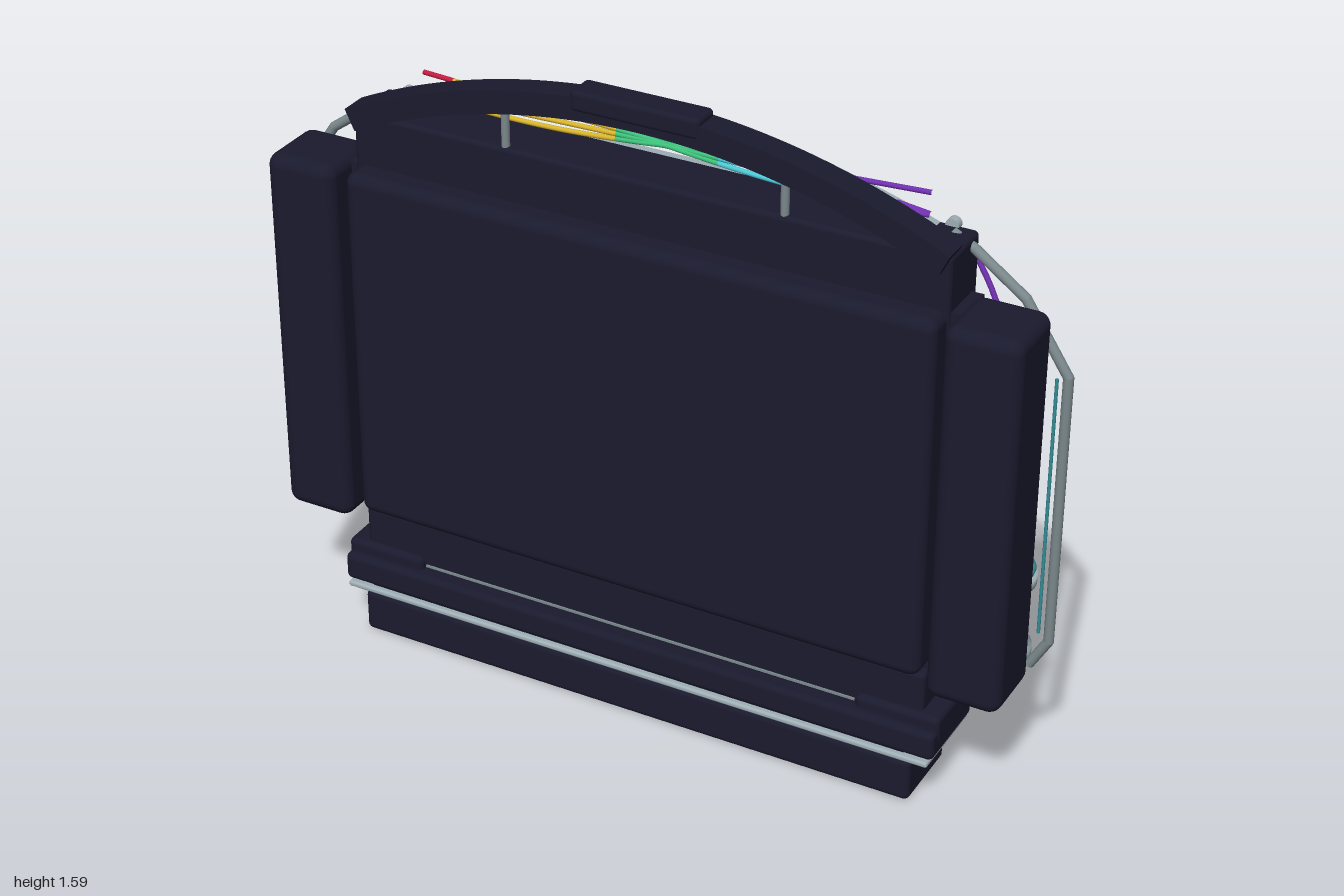
import * as THREE from 'three';
import { RoundedBoxGeometry } from 'three/addons/geometries/RoundedBoxGeometry.js';

const mat = (name, color) => Object.assign(new THREE.MeshStandardMaterial({ color }), { name });

export function createModel() {
  const root = new THREE.Group();
  root.name = 'portableConsole';
  const dark = mat('dark shell', 0x1a1a2e);
  const silver = mat('silver', 0x9fafb5);
  const grey = mat('grey metal', 0x7b888c);
  const teal = mat('pale teal', 0x80c8d6);
  const deepTeal = mat('deep teal', 0x358c94);
  const red = mat('red wire', 0xc01c40);
  const yellow = mat('yellow wire', 0xd8b42c);
  const green = mat('green wire', 0x3cc07a);
  const cyan = mat('cyan wire', 0x4cc6d4);
  const purple = mat('purple wire', 0x7030b0);

  const add = (name, geo, m, x = 0, y = 0, z = 0) => {
    const mesh = new THREE.Mesh(geo, m);
    mesh.name = name;
    mesh.position.set(x, y, z);
    root.add(mesh);
    return mesh;
  };
  // Box given by its limits on each axis, optionally rounded
  const box = (name, m, x0, x1, y0, y1, z0, z1, r = 0) => {
    const s = [x1 - x0, y1 - y0, z1 - z0];
    return add(name, r ? new RoundedBoxGeometry(...s, 4, r) : new THREE.BoxGeometry(...s), m,
      (x0 + x1) / 2, (y0 + y1) / 2, (z0 + z1) / 2);
  };
  // Straight round bar between two points
  const rod = (name, m, a, b, r) => {
    const p = new THREE.Vector3(...a), q = new THREE.Vector3(...b), d = q.clone().sub(p);
    const mesh = add(name, new THREE.CylinderGeometry(r, r, d.length(), 16), m);
    mesh.position.copy(p).add(q).multiplyScalar(0.5);
    mesh.quaternion.setFromUnitVectors(new THREE.Vector3(0, 1, 0), d.normalize());
  };
  const path = (name, m, pts, r) => {
    for (let i = 1; i < pts.length; i++) rod(name, m, pts[i - 1], pts[i], r);
    for (let i = 1; i < pts.length - 1; i++) add(name + 'Joint', new THREE.SphereGeometry(r, 16, 10), m, ...pts[i]);
  };
  const wire = (name, m, pts, r) => add(name, new THREE.TubeGeometry(
    new THREE.CatmullRomCurve3(pts.map(p => new THREE.Vector3(...p))), 16, r, 16), m);
  // Rounded rectangle outline
  const rect = (s, x0, x1, y0, y1, r) => {
    s.moveTo(x0 + r, y0);
    s.lineTo(x1 - r, y0); s.quadraticCurveTo(x1, y0, x1, y0 + r);
    s.lineTo(x1, y1 - r); s.quadraticCurveTo(x1, y1, x1 - r, y1);
    s.lineTo(x0 + r, y1); s.quadraticCurveTo(x0, y1, x0, y1 - r);
    s.lineTo(x0, y0 + r); s.quadraticCurveTo(x0, y0, x0 + r, y0);
    return s;
  };
  // Mitred rectangular moulding facing -z, from [inset, z] steps
  const moulding = (name, m, w, y0, y1, steps) => {
    const pos = [];
    const corners = ([i, z]) => [[-w + i, y0 + i, z], [w - i, y0 + i, z], [w - i, y1 - i, z], [-w + i, y1 - i, z]];
    for (let k = 1; k < steps.length; k++) {
      const a = corners(steps[k - 1]), b = corners(steps[k]);
      for (let c = 0; c < 4; c++) {
        const n = (c + 1) % 4;
        pos.push(...a[c], ...b[n], ...a[n], ...a[c], ...b[c], ...b[n]);
      }
    }
    const g = new THREE.BufferGeometry();
    g.setAttribute('position', new THREE.Float32BufferAttribute(pos, 3));
    g.computeVertexNormals();
    add(name, g, m);
  };
  // Curved band through (+-half, yEnd) and (0, yTop)
  const arch = (name, m, half, yEnd, yTop, t, z, depth) => {
    const h = yTop - yEnd, R = (half * half + h * h) / (2 * h), a = Math.asin(half / R), c = yTop - R;
    const s = new THREE.Shape();
    s.absarc(0, c, R, Math.PI / 2 - a, Math.PI / 2 + a, false);
    s.absarc(0, c, R - t, Math.PI / 2 + a, Math.PI / 2 - a, true);
    add(name, new THREE.ExtrudeGeometry(s, { depth, bevelEnabled: false, curveSegments: 28 }), m, 0, 0, z);
  };

  // Main shell
  box('body', dark, -0.75, 0.75, 0.23, 1.39, -0.09, 0.06, 0.012);
  box('lowerBody', dark, -0.75, 0.75, 0.18, 0.335, -0.09, 0.09, 0.012);
  box('frontPanel', dark, -0.745, 0.745, 0.34, 1.26, 0.02, 0.125, 0.028);
  box('base', dark, -0.74, 0.74, 0, 0.112, -0.075, 0.13, 0.015);
  box('baseNeck', dark, -0.72, 0.72, 0.1, 0.15, -0.07, 0.12);
  box('baseTrim', silver, -0.785, 0.785, 0.115, 0.13, -0.1, 0.135, 0.006);
  box('shelf', dark, -0.795, 0.795, 0.132, 0.205, -0.095, 0.13, 0.015);
  box('shelfLine', grey, -0.58, 0.58, 0.211, 0.217, 0.085, 0.094);

  // Carry handle
  arch('handle', dark, 0.755, 1.405, 1.577, 0.056, 0.015, 0.07);
  box('handleGrip', dark, -0.16, 0.16, 1.535, 1.586, 0.01, 0.088, 0.012);

  // Rear screen moulding, ledge and pull loop
  moulding('screenFrame', silver, 0.725, 0.345, 1.195,
    [[0, -0.088], [0, -0.116], [0.012, -0.127], [0.04, -0.127], [0.085, -0.092]]);
  box('screenLedge', silver, -0.77, 0.77, 0.33, 0.347, -0.135, -0.045, 0.006);
  const loop = rect(new THREE.Shape(), -0.305, 0.305, 1.205, 1.37, 0.035);
  loop.holes.push(rect(new THREE.Path(), -0.28, 0.28, 1.23, 1.345, 0.02));
  add('pullLoop', new THREE.ExtrudeGeometry(loop, { depth: 0.036, bevelEnabled: false, curveSegments: 6 }),
    silver, 0, 0, -0.137);

  // Arched cable guides over the top
  arch('cableGuide', silver, 0.66, 1.39, 1.507, 0.028, -0.082, 0.026);
  arch('cableGuideLower', grey, 0.6, 1.39, 1.465, 0.008, -0.06, 0.006);

  // Rainbow wires: crossing strands split into colour spans
  const spans = [[-0.64, -0.56, red], [-0.56, -0.13, yellow], [-0.13, 0.13, green], [0.13, 0.4, cyan], [0.4, 0.64, purple]];
  const strands = [-1, -0.1, 0.8].map(k => u => 1.423 - 0.015 * u * u + k * 0.02 * Math.sin(Math.PI * u));
  strands.push(u => 1.423 + 0.035 * u);
  strands.forEach((f, n) => {
    for (const [x0, x1, m] of spans) {
      const pts = [];
      for (let i = 0; i <= 6; i++) {
        const x = x0 + (x1 - x0) * i / 6, u = Math.abs(x) / 0.64;
        pts.push([x, f(u), -0.067 - 0.003 * n]);
      }
      wire('rainbowWire', m, pts, 0.006);
    }
  });
  // Wires lying along the upper back
  for (const [x0, x1, m] of spans) {
    const end = x => Math.abs(x) > 0.6 ? x * 1.1 : x;
    rod('backWire', m, [end(x0), 1.376, -0.09], [end(x1), 1.376, -0.09], 0.006);
  }

  for (const s of [-1, 1]) {
    const X = (a, b) => s > 0 ? [a, b] : [-b, -a];
    // Side pod and its fittings
    box('sidePod', dark, ...X(0.768, 0.95), 0.315, 1.27, -0.045, 0.142, 0.032);
    box('podConnector', dark, ...X(0.74, 0.78), 0.33, 1.255, -0.06, 0.05);
    box('shelfEndCap', dark, ...X(0.585, 0.797), 0.16, 0.237, -0.088, 0.107, 0.015);
    box('sideRail', grey, ...X(0.765, 0.79), 0.35, 1.2, -0.075, -0.045);
    rod('handlePost', grey, [s * 0.35, 1.38, 0.045], [s * 0.35, 1.51, 0.045], 0.01);

    // Roll cage around the pod
    path('sideCage', grey, [[s * 0.7, 1.385, -0.06], [s * 0.755, 1.365, -0.05], [s * 0.88, 1.275, -0.05],
      [s * 0.988, 1.11, -0.05], [s * 0.988, 0.425, -0.05], [s * 0.945, 0.35, -0.05]], 0.012);
    rod('sideCageLiner', deepTeal, [s * 0.962, 1.1, -0.05], [s * 0.962, 0.44, -0.05], 0.004);
    const knob = add('cornerKnob', new THREE.CylinderGeometry(0.016, 0.016, 0.02, 16), silver, s * 0.69, 1.392, -0.084);
    knob.rotation.x = Math.PI / 2;

    // Energy cell on a spool
    const spool = [[0, 0.348], [0.078, 0.348], [0.078, 0.378], [0.056, 0.4], [0.042, 0.425], [0.042, 0.5], [0.055, 0.535],
      [0.08, 0.548], [0.08, 0.572], [0, 0.572]].map(p => new THREE.Vector2(...p));
    add('spool', new THREE.LatheGeometry(spool, 24), silver, s * 0.862, 0, -0.06);
    const ring = add('spoolRing', new THREE.TorusGeometry(0.066, 0.01, 12, 24), deepTeal, s * 0.862, 0.584, -0.06);
    ring.rotation.x = Math.PI / 2;
    const cellGeo = new THREE.LatheGeometry([[0, 0.575], [0.066, 0.575], [0.066, 0.9], [0.042, 0.95], [0, 0.95]]
      .map(p => new THREE.Vector2(...p)), 8).toNonIndexed();
    cellGeo.rotateY(Math.PI / 8);
    cellGeo.computeVertexNormals();
    add('energyCell', cellGeo, teal, s * 0.862, 0, -0.062).scale.x = 0.62;

    // Rungs, rail and glowing line on the pod back
    for (let i = 0; i < 4; i++) {
      const y = 0.98 + i * 0.05;
      rod('podRung', silver, [s * 0.86, y, -0.05], [s * 0.92, y, -0.05], 0.008);
    }
    box('podRail', silver, ...X(0.795, 0.822), 0.85, 1.13, -0.07, -0.04);
    path('podLine', deepTeal, [[s * 0.86, 1.2, -0.046], [s * 0.925, 1.14, -0.046], [s * 0.932, 0.66, -0.046]], 0.004);

    // Wire feeding the cell
    wire('feedWire', s > 0 ? purple : red, [[s * 0.7, 1.376, -0.093], [s * 0.74, 1.32, -0.098],
      [s * 0.785, 1.24, -0.098], [s * 0.83, 1.12, -0.09], [s * 0.86, 0.94, -0.065]], 0.0065);

    // Raised circuit traces
    const trace = pts => path('trace', grey, pts.map(([x, y]) => [s * x, y, -0.092]), 0.005);
    trace([[0.7, 1.305], [0.51, 1.305], [0.43, 1.255], [0.34, 1.25]]);
    trace([[0.72, 0.225], [0.56, 0.225], [0.48, 0.275], [0.06, 0.275]]);
    for (let i = 0; i < 6; i++) {
      for (const y of [0.228, 0.246]) {
        rod('traceDash', deepTeal, [s * (0.08 + i * 0.055), y, -0.092], [s * (0.123 + i * 0.055), y, -0.092], 0.0045);
      }
    }
    rod('upperTrace', deepTeal, [s * 0.52, 1.288, -0.092], [s * 0.69, 1.288, -0.092], 0.0045);
  }
  return root;
}
